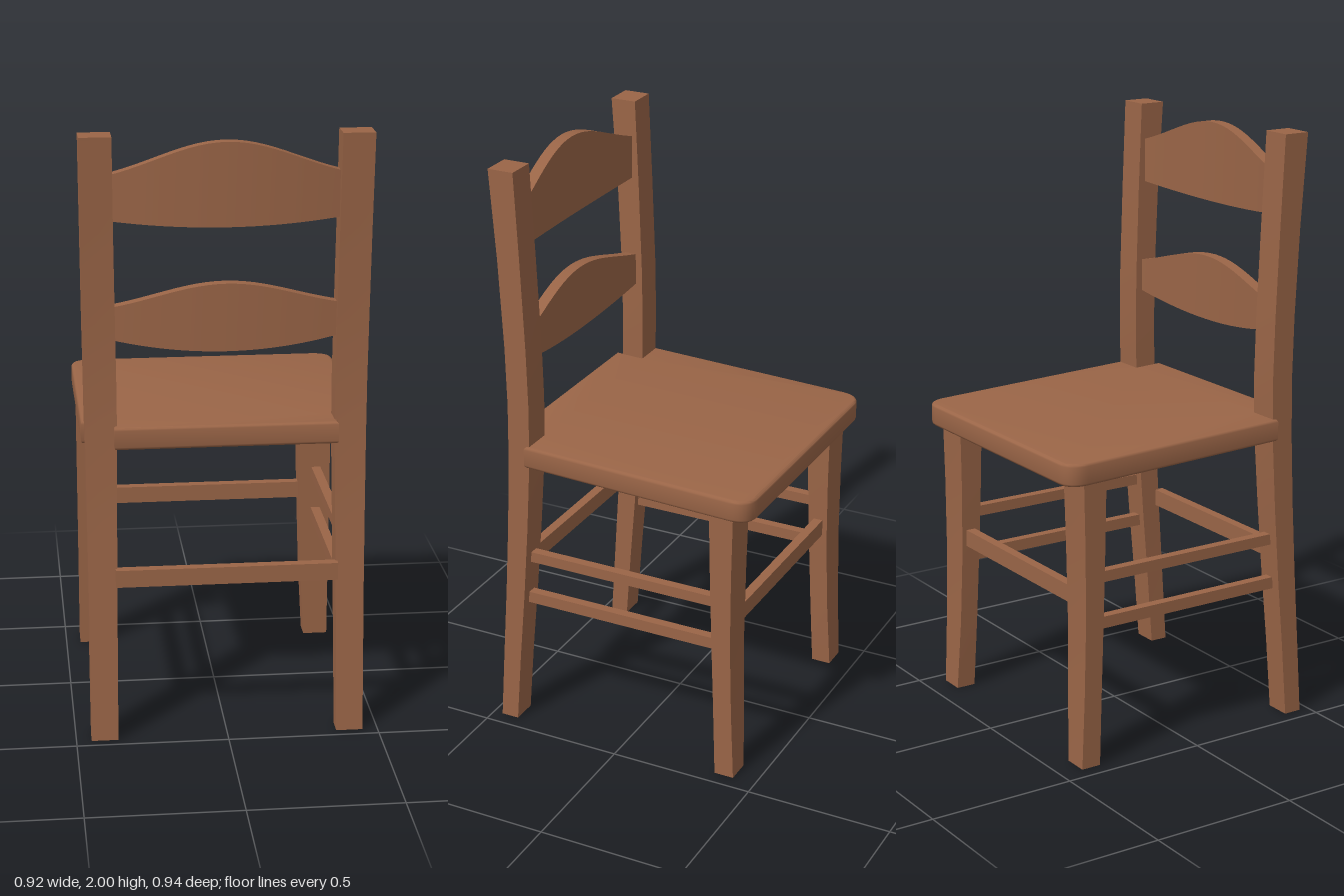
import * as THREE from 'three';
import { toCreasedNormals } from 'three/addons/utils/BufferGeometryUtils.js';

const wood = new THREE.MeshStandardMaterial({ color: 0x9a6547 });
wood.name = 'brown wood';

function add(group, name, geometry) {
  const mesh = new THREE.Mesh(geometry, wood);
  mesh.name = name;
  group.add(mesh);
}

// Rectangular post through sections [y, inner x, outer x, z min, z max]
function post(sections, side) {
  const n = sections.length - 1;
  const g = new THREE.BoxGeometry(1, 1, 1, 1, n, 1);
  const p = g.attributes.position;
  for (let i = 0; i < p.count; i++) {
    const [y, inner, outer, z0, z1] = sections[Math.round((p.getY(i) + 0.5) * n)];
    const x = p.getX(i) * side > 0 ? outer : inner;
    p.setXYZ(i, x * side, y, p.getZ(i) > 0 ? z1 : z0);
  }
  return toCreasedNormals(g, 0.5);
}

// Bowed back slat: top and bottom give [end height, centre height]
function slat(top, bottom, zFront, zBack, bow) {
  const g = new THREE.BoxGeometry(2, 1, 1, 24, 1, 1);
  const p = g.attributes.position;
  for (let i = 0; i < p.count; i++) {
    const u = p.getX(i);
    const arch = 1 - u * u;
    const wave = (arch + (1 + Math.cos(Math.PI * u)) / 2) / 2;
    const y = p.getY(i) > 0
      ? top[0] + (top[1] - top[0]) * wave
      : bottom[0] + (bottom[1] - bottom[0]) * arch;
    const z = (p.getZ(i) > 0 ? zBack : zFront) - bow * (1 - arch);
    p.setXYZ(i, u * 0.365, y, z);
  }
  return toCreasedNormals(g, 0.5);
}

function bar(x0, x1, y0, y1, z0, z1) {
  return new THREE.BoxGeometry(x1 - x0, y1 - y0, z1 - z0)
    .translate((x0 + x1) / 2, (y0 + y1) / 2, (z0 + z1) / 2);
}

// Seat board with rounded front corners and notches for the posts
function seat() {
  const b = 0.01, w = 0.462 - b, f = -0.47 + b, r = 0.06;
  const s = new THREE.Shape();
  s.moveTo(-w + r, f);
  s.lineTo(w - r, f);
  s.quadraticCurveTo(w, f, w, f + r);
  s.lineTo(w, 0.33);
  s.lineTo(0.35, 0.33);
  s.lineTo(0.35, 0.43 - b);
  s.lineTo(-0.35, 0.43 - b);
  s.lineTo(-0.35, 0.33);
  s.lineTo(-w, 0.33);
  s.lineTo(-w, f + r);
  s.quadraticCurveTo(-w, f, -w + r, f);
  const g = new THREE.ExtrudeGeometry(s, {
    depth: 0.055, bevelThickness: b, bevelSize: b, bevelSegments: 3, curveSegments: 8,
  });
  g.rotateX(Math.PI / 2);
  // Tilt: the seat rises gently toward the backrest
  const p = g.attributes.position;
  for (let i = 0; i < p.count; i++) {
    p.setY(i, p.getY(i) + 1.041 + 0.034 * p.getZ(i));
  }
  return toCreasedNormals(g, 0.6);
}

export function createModel() {
  const chair = new THREE.Group();
  chair.name = 'chair';

  add(chair, 'seat', seat());

  const backPost = [
    [0, 0.362, 0.45, 0.405, 0.467],
    [0.25, 0.36, 0.45, 0.385, 0.45],
    [0.5, 0.357, 0.45, 0.362, 0.432],
    [0.75, 0.354, 0.451, 0.342, 0.416],
    [1.0, 0.35, 0.452, 0.326, 0.404],
    [1.2, 0.35, 0.453, 0.322, 0.4],
    [1.4, 0.352, 0.455, 0.325, 0.403],
    [1.7, 0.355, 0.457, 0.336, 0.417],
    [2, 0.357, 0.459, 0.349, 0.438],
  ];
  const frontLeg = [
    [0, 0.365, 0.45, -0.42, -0.352],
    [0.25, 0.35, 0.45, -0.41, -0.345],
    [0.5, 0.341, 0.45, -0.404, -0.337],
    [0.75, 0.334, 0.45, -0.405, -0.33],
    [1.0, 0.329, 0.45, -0.41, -0.325],
  ];
  for (const side of [1, -1]) {
    const label = side > 0 ? 'left' : 'right';
    add(chair, label + 'BackPost', post(backPost, side));
    add(chair, label + 'FrontLeg', post(frontLeg, side));
    // Side stretchers
    const x = 0.4 * side;
    add(chair, label + 'UpperStretcher', bar(x - 0.016, x + 0.016, 0.613, 0.65, -0.36, 0.375));
    add(chair, label + 'LowerStretcher', bar(x - 0.016, x + 0.016, 0.455, 0.495, -0.36, 0.39));
  }

  // Cross stretchers
  add(chair, 'backStretcher', bar(-0.362, 0.362, 0.53, 0.588, 0.415, 0.448));
  add(chair, 'frontStretcher', bar(-0.362, 0.362, 0.53, 0.588, -0.387, -0.354));

  // Backrest slats
  add(chair, 'upperSlat', slat([1.875, 1.978], [1.73, 1.71], 0.392, 0.432, 0.032));
  add(chair, 'lowerSlat', slat([1.45, 1.525], [1.345, 1.305], 0.372, 0.412, 0.025));

  return chair;
}
